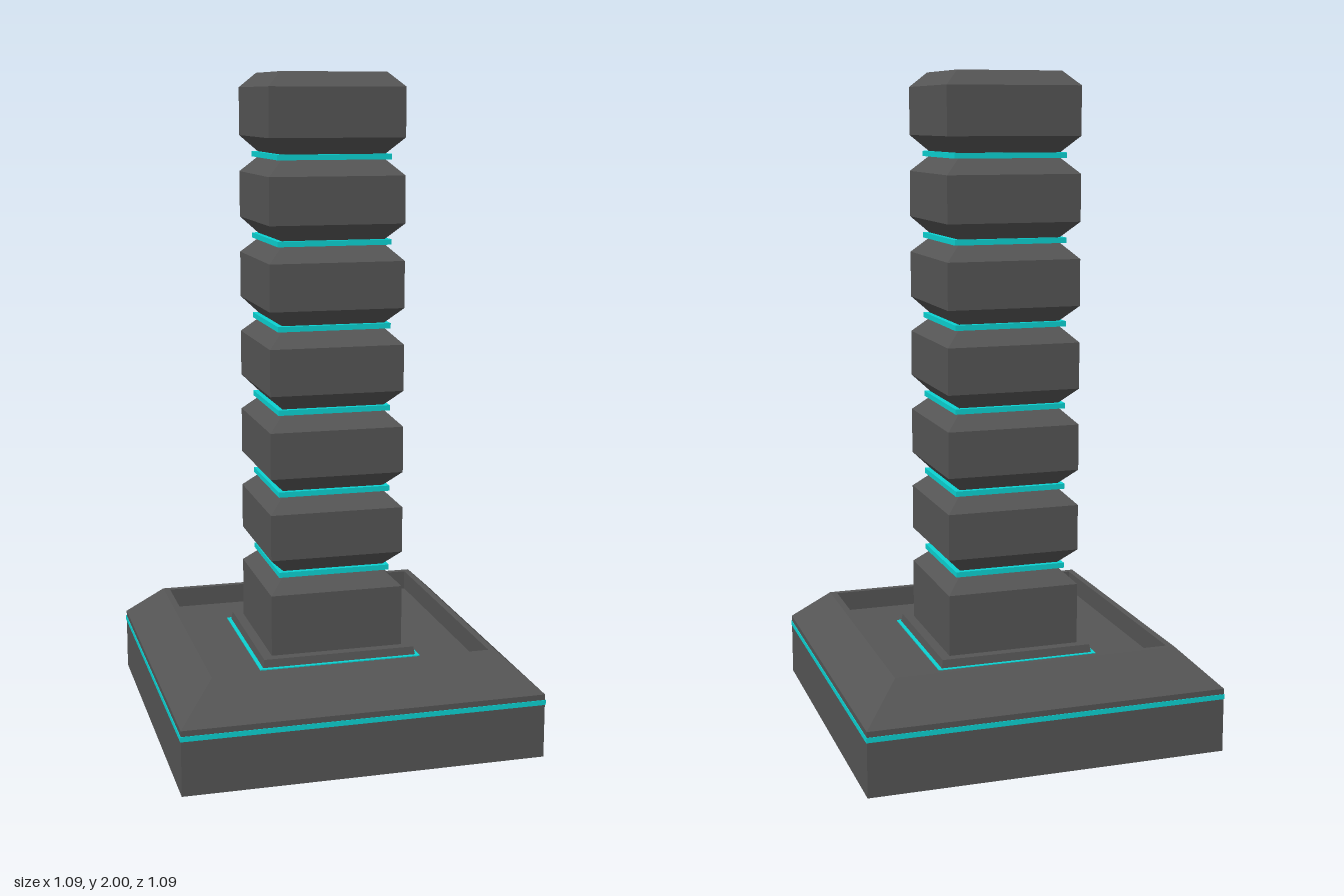
import * as THREE from 'three';

const stone = new THREE.MeshStandardMaterial({ color: 0x555555, flatShading: true });
const glow = new THREE.MeshStandardMaterial({ color: 0x0cd2d2, flatShading: true });
const gem = new THREE.MeshStandardMaterial({ color: 0xd00cb8, flatShading: true });

// Square solid from a profile of [half width, height], running upward on the outside
function squareTurned(name, profile, material) {
  const points = profile.map(([half, y]) => new THREE.Vector2(half * Math.SQRT2, y));
  const geometry = new THREE.LatheGeometry(points, 4, Math.PI / 4).toNonIndexed();
  geometry.computeVertexNormals();
  const mesh = new THREE.Mesh(geometry, material);
  mesh.name = name;
  return mesh;
}

// Flat square slab between two heights
const slab = (name, half, y0, y1, material) =>
  squareTurned(name, [[0, y0], [half, y0], [half, y1], [0, y1]], material);

export function createModel() {
  const model = new THREE.Group();
  model.name = 'tower';

  // Bevelled base with a thin rim around a sunken floor
  model.add(squareTurned('base', [
    [0, 0], [0.544, 0], [0.544, 0.195], [0.433, 0.3], [0.413, 0.3], [0.413, 0.238], [0, 0.238],
  ], stone));
  model.add(squareTurned('baseStripe', [
    [0.54, 0.163], [0.546, 0.163], [0.546, 0.178], [0.54, 0.178],
  ], glow));

  // Lit border and low plinth at the column's foot
  model.add(slab('footBorder', 0.251, 0.23, 0.241, glow));
  model.add(squareTurned('plinth', [[0.24, 0.238], [0.235, 0.265], [0, 0.265]], stone));

  // Column: stacked bevelled blocks separated by narrow necks
  const step = 0.25, rings = 6, firstRing = 0.506;
  const wide = 0.205, neck = 0.155;
  const profile = [[wide, 0.26]];
  for (let i = 0; i < rings; i++) {
    const y = firstRing + i * step;
    profile.push([wide, y - 0.054], [neck, y - 0.006], [neck, y + 0.006], [wide, y + 0.056]);
    model.add(slab('neckRing' + (i + 1), 0.173, y - 0.008, y + 0.008, glow));
  }
  // Bevelled cap with a square socket
  profile.push([wide, 1.957], [0.16, 2], [0.083, 2], [0.083, 1.965]);
  model.add(squareTurned('column', profile, stone));
  model.add(squareTurned('socketPanel', [[0.083, 1.97], [0, 1.97]], gem));

  return model;
}
